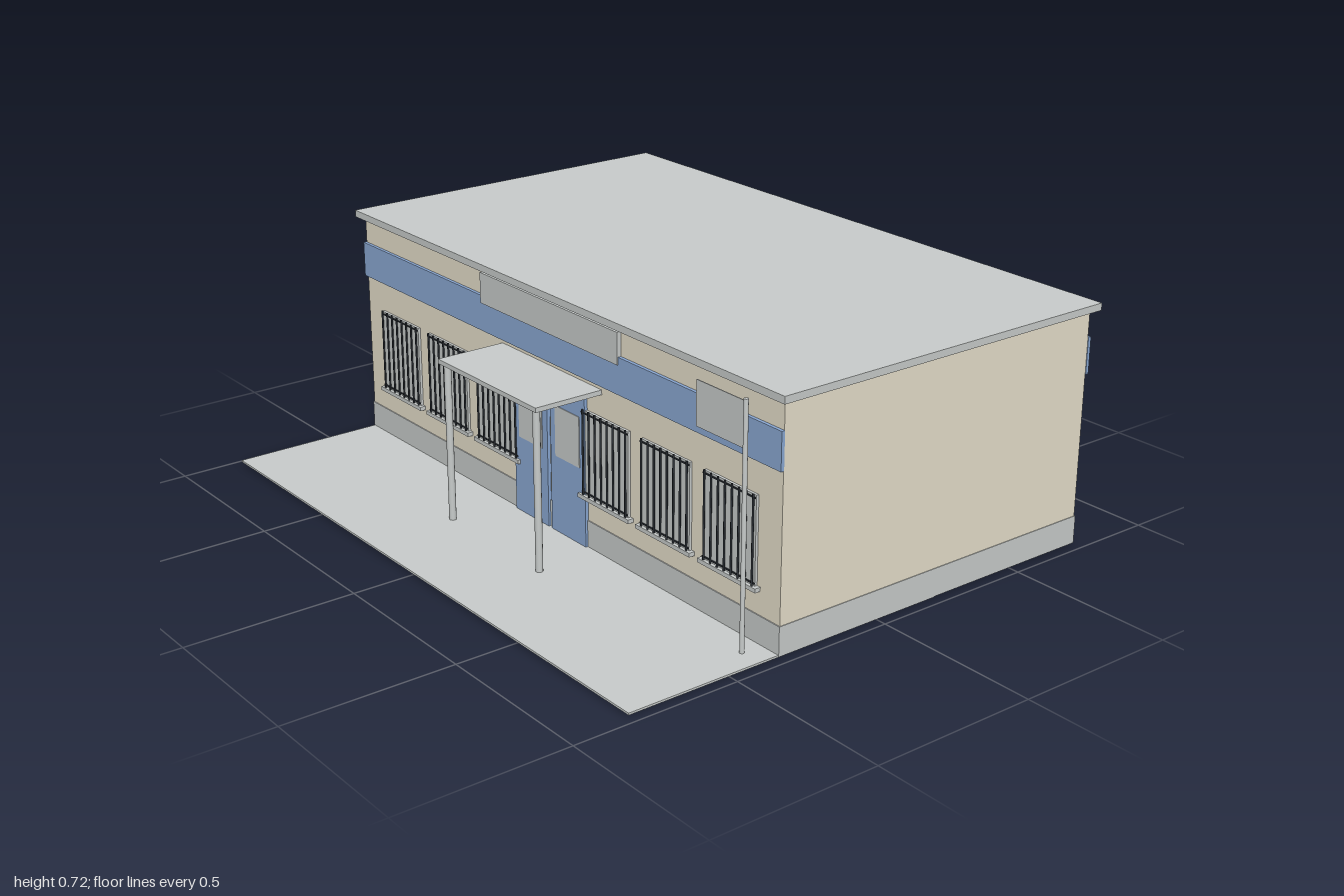
import * as THREE from 'three';

const material = (name, color) => {
  const m = new THREE.MeshStandardMaterial({ color });
  m.name = name;
  return m;
};

export function createModel() {
  const tan = material('tan wall', 0xe6dfcb);
  const grey = material('light grey', 0xc8cccb);
  const blue = material('blue paint', 0x8aa8d3);
  const dark = material('dark metal', 0x2b3036);

  const model = new THREE.Group();
  model.name = 'building';

  // Box given by its extents on each axis
  const box = (parent, name, mat, x0, x1, y0, y1, z0, z1) => {
    const mesh = new THREE.Mesh(new THREE.BoxGeometry(x1 - x0, y1 - y0, z1 - z0), mat);
    mesh.position.set((x0 + x1) / 2, (y0 + y1) / 2, (z0 + z1) / 2);
    mesh.name = name;
    parent.add(mesh);
  };
  const post = (parent, name, mat, r, x, z, y0, y1) => {
    const mesh = new THREE.Mesh(new THREE.CylinderGeometry(r, r, y1 - y0, 12), mat);
    mesh.position.set(x, (y0 + y1) / 2, z);
    mesh.name = name;
    parent.add(mesh);
  };

  const FRONT = 0.345, BACK = -0.743;

  // Main shell
  box(model, 'walls', tan, -0.977, 0.977, 0.01, 0.705, BACK, FRONT);
  box(model, 'roofSlab', grey, -1, 1, 0.701, 0.722, -0.762, 0.367);
  box(model, 'pavement', grey, -0.977, 0.977, 0.007, 0.013, -0.2, 0.82);

  // Plinth strips round the foot of the walls
  box(model, 'plinthFront', grey, -0.979, 0.979, 0.01, 0.093, FRONT, FRONT + 0.003);
  box(model, 'plinthBack', grey, -0.979, 0.979, 0.01, 0.093, BACK - 0.003, BACK);
  for (const s of [-1, 1]) {
    const x = s * 0.978;
    box(model, 'plinthSide', grey, x - 0.001, x + 0.001, 0.01, 0.093, BACK, FRONT);
  }

  // Painted bands, front and back
  box(model, 'bandFront', blue, -0.979, 0.979, 0.515, 0.622, FRONT, FRONT + 0.01);
  box(model, 'bandBack', blue, -0.979, 0.979, 0.515, 0.622, BACK - 0.01, BACK);

  // Blank sign board above the entrance
  box(model, 'signBoard', grey, -0.326, 0.324, 0.6, 0.692, FRONT, FRONT + 0.013);

  // Barred window built facing +z around its own wall point
  const barredWindow = (x, z, back) => {
    const g = new THREE.Group();
    g.name = 'barredWindow';
    box(g, 'pane', grey, -0.103, 0.103, 0.172, 0.422, 0, 0.008);
    box(g, 'sill', grey, -0.115, 0.115, 0.16, 0.172, 0, 0.018);
    for (const y of [0.18, 0.415])
      box(g, 'crossBar', dark, -0.104, 0.104, y - 0.002, y + 0.002, 0.009, 0.012);
    for (let i = 0; i < 8; i++)
      post(g, 'bar', dark, 0.0029, -0.096 + i * 0.192 / 7, 0.0125, 0.172, 0.425);
    g.position.set(x, 0, z);
    if (back) g.rotation.y = Math.PI;
    model.add(g);
  };
  for (const x of [0.26, 0.522, 0.785]) {
    barredWindow(x, FRONT, false);
    barredWindow(-x, FRONT, false);
  }
  for (const x of [0.785, 0.522, 0.26, 0, -0.26, -0.522]) barredWindow(x, BACK, true);

  // Double entrance door with panes
  for (const s of [-1, 1]) {
    const door = new THREE.Group();
    door.name = 'entranceDoor';
    box(door, 'leaf', blue, -0.081, 0.081, 0.01, 0.462, 0, 0.01);
    box(door, 'doorPane', grey, -0.057, 0.057, 0.245, 0.396, 0.01, 0.012);
    door.position.set(s * 0.089, 0, FRONT);
    model.add(door);
  }

  // Entrance canopy on two posts
  box(model, 'canopy', grey, -0.237, 0.237, 0.487, 0.501, FRONT, 0.562);
  for (const x of [-0.218, 0.214]) post(model, 'canopyPost', grey, 0.0105, x, 0.544, 0.006, 0.488);

  // Flagpole with a flat grey flag
  post(model, 'flagpole', grey, 0.0065, 0.91, 0.411, 0.006, 0.7);
  box(model, 'flag', grey, 0.715, 0.907, 0.565, 0.69, 0.404, 0.407);

  // Back door with frame, slots, handle and step
  const backDoor = new THREE.Group();
  backDoor.name = 'backDoor';
  box(backDoor, 'frame', blue, -0.908, -0.704, 0.012, 0.444, BACK - 0.006, BACK);
  box(backDoor, 'leaf', blue, -0.896, -0.716, 0.02, 0.432, BACK - 0.01, BACK);
  for (const y of [0.187, 0.345])
    for (let i = 0; i < 4; i++) {
      const x = -0.845 + i * 0.026;
      box(backDoor, 'slot', dark, x - 0.008, x + 0.008, y - 0.0015, y + 0.0015, BACK - 0.011, BACK - 0.009);
    }
  box(backDoor, 'handle', dark, -0.886, -0.872, 0.218, 0.225, BACK - 0.016, BACK - 0.009);
  model.add(backDoor);
  box(model, 'backStep', grey, -0.93, -0.682, 0, 0.02, -0.822, BACK);

  return model;
}
